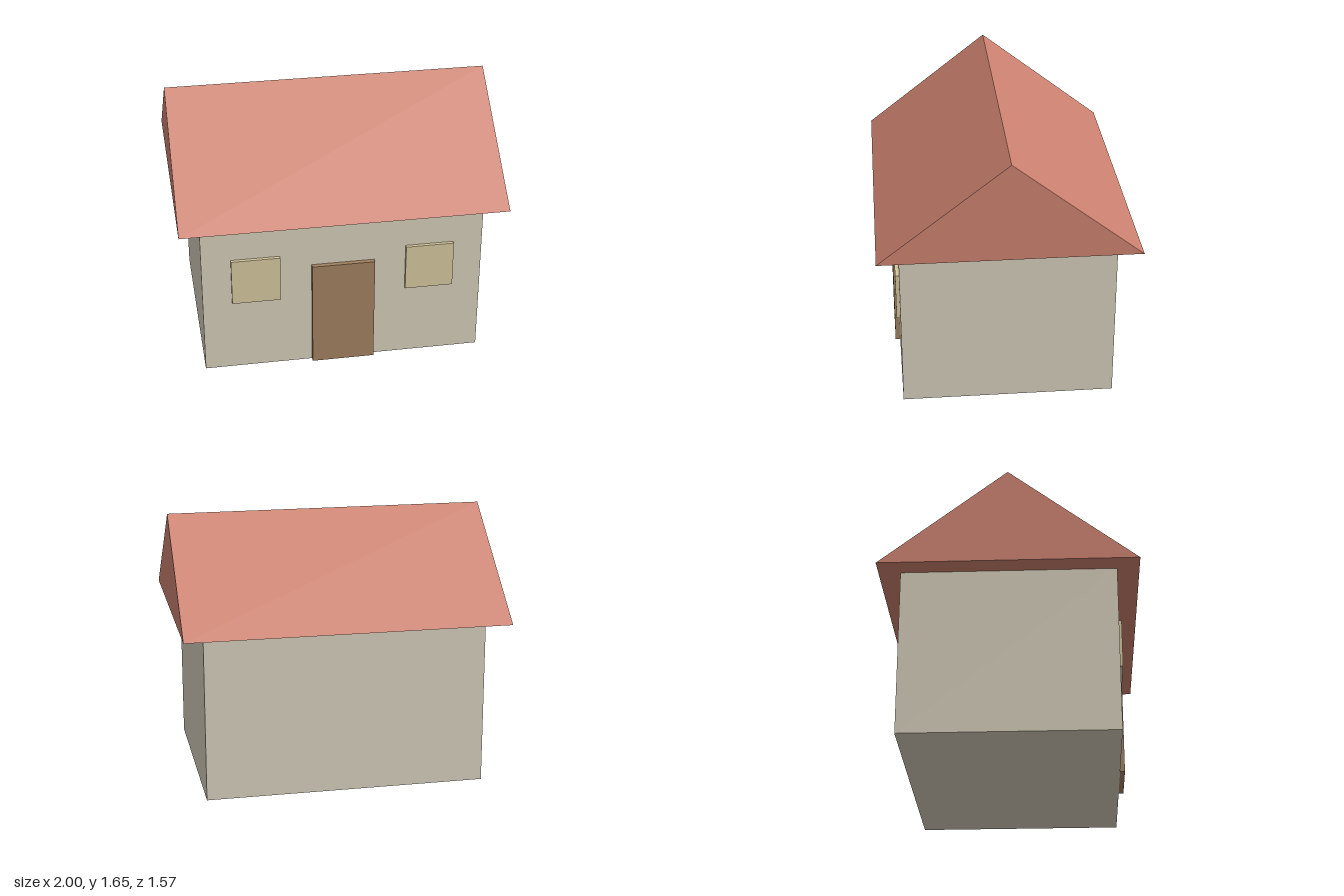
import * as THREE from 'three';

const material = (name, color) => {
  const m = new THREE.MeshStandardMaterial({ color });
  m.name = name;
  return m;
};

export function createModel() {
  const house = new THREE.Group();
  house.name = 'house';

  const plaster = material('plaster', 0xd4ccba);
  const terracotta = material('terracotta', 0xcc8270);
  const wood = material('wood', 0xa08060);
  const paleYellow = material('paleYellow', 0xd4c69c);

  const wallHeight = 1.04, wallDepth = 1.3, front = wallDepth / 2;

  // Box standing on the given base height, reaching forward from its back face
  const addBox = (name, mat, w, h, d, x, base, back) => {
    const mesh = new THREE.Mesh(new THREE.BoxGeometry(w, h, d), mat);
    mesh.name = name;
    mesh.position.set(x, base + h / 2, back + d / 2);
    house.add(mesh);
  };

  addBox('walls', plaster, 1.74, wallHeight, wallDepth, 0, 0, -front);
  addBox('door', wood, 0.39, 0.7, 0.03, 0, 0, front);
  addBox('leftWindow', paleYellow, 0.3, 0.3, 0.022, 0.54, 0.48, front);
  addBox('rightWindow', paleYellow, 0.3, 0.3, 0.022, -0.54, 0.48, front);

  // Gable roof: triangular profile extruded along x
  const gable = new THREE.Shape([
    new THREE.Vector2(-0.783, 0),
    new THREE.Vector2(0.783, 0),
    new THREE.Vector2(0, 0.612),
  ]);
  const roofGeometry = new THREE.ExtrudeGeometry(gable, { depth: 2, bevelEnabled: false });
  roofGeometry.translate(0, 0, -1).rotateY(Math.PI / 2);
  const roof = new THREE.Mesh(roofGeometry, terracotta);
  roof.name = 'roof';
  roof.position.y = wallHeight;
  house.add(roof);

  return house;
}
